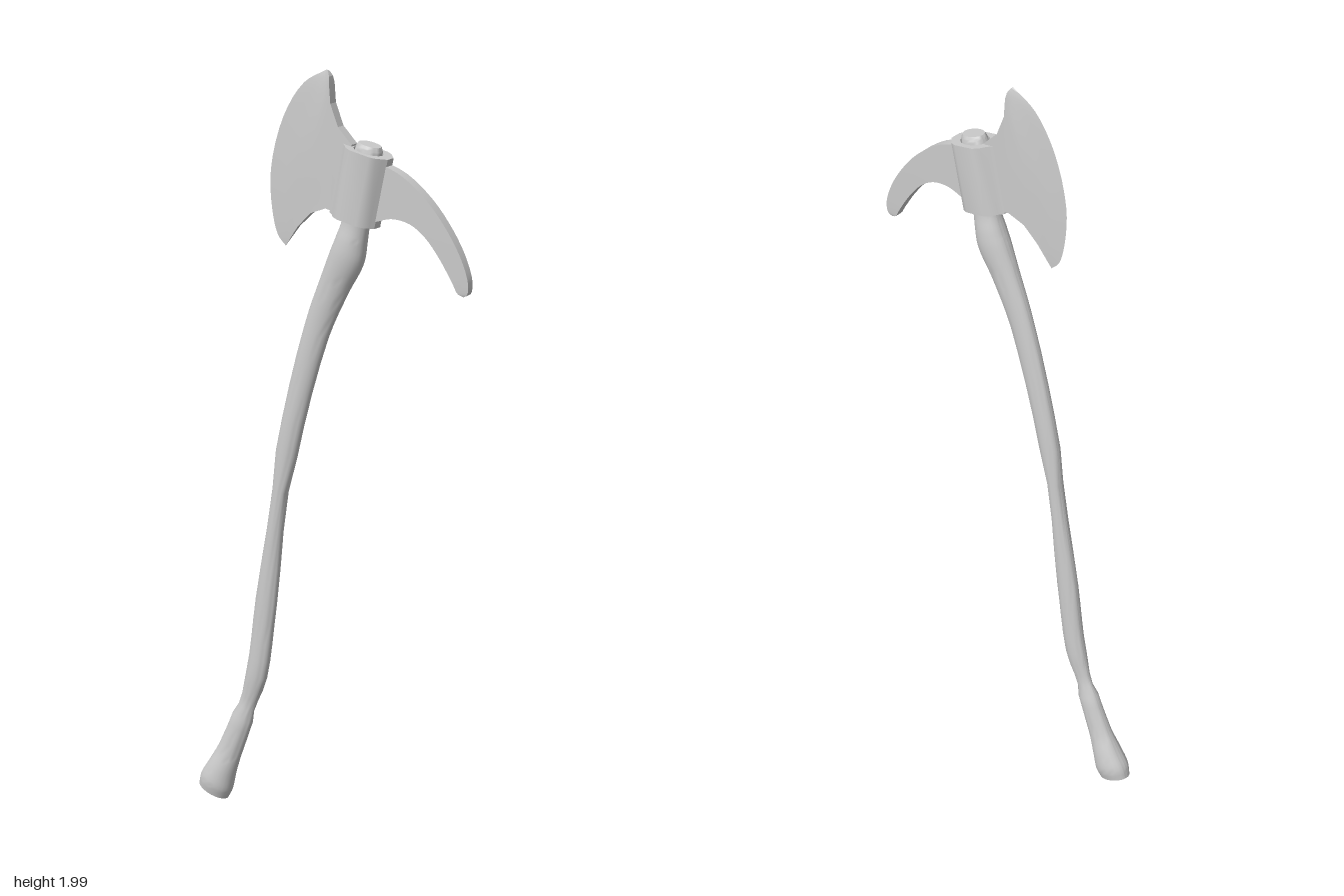
import * as THREE from 'three';
import { toCreasedNormals } from 'three/addons/utils/BufferGeometryUtils.js';

const material = new THREE.MeshStandardMaterial({ color: 0xcccccc, side: THREE.DoubleSide });
const spline = (points) =>
  new THREE.CatmullRomCurve3(points.map(([x, y]) => new THREE.Vector3(x, y, 0)));

// Skin a list of closed rings, with optional flat caps at both ends.
function loft(name, rings, capStart, capEnd, crease = 0.6) {
  const n = rings[0].length;
  const points = rings.flat();
  const index = [];
  for (let i = 0; i < rings.length - 1; i++) {
    for (let j = 0; j < n; j++) {
      const a = i * n + j, b = i * n + (j + 1) % n;
      index.push(a, b, b + n, a, b + n, a + n);
    }
  }
  const cap = (ring, start, flip) => {
    const centre = new THREE.Vector3();
    ring.forEach((p) => centre.addScaledVector(p, 1 / n));
    const c = points.push(centre) - 1;
    for (let j = 0; j < n; j++) {
      const a = start + j, b = start + (j + 1) % n;
      index.push(c, flip ? b : a, flip ? a : b);
    }
  };
  if (capStart) cap(rings[0], 0, true);
  if (capEnd) cap(rings[rings.length - 1], (rings.length - 1) * n, false);
  const geometry = new THREE.BufferGeometry().setFromPoints(points);
  geometry.setIndex(index);
  const mesh = new THREE.Mesh(toCreasedNormals(geometry, crease), material);
  mesh.name = name;
  return mesh;
}

// Flat plate ring: a top-to-bottom curve on the front, mirrored on the back.
function plateRing(halfThickness, points, samples) {
  const front = spline(points).getPoints(samples);
  front.forEach((p) => { p.z = halfThickness; });
  const back = front.map((p) => new THREE.Vector3(p.x, p.y, -halfThickness)).reverse();
  return [...front, ...back];
}

// Curved oval handle with a flared knob and a collar under the head.
function makeHandle() {
  // x, y, radius in the plane of the head, radius across it
  const stations = [
    [-0.363, 0.031, 0.046, 0.030], [-0.352, 0.06, 0.049, 0.037], [-0.335, 0.10, 0.042, 0.034],
    [-0.31, 0.155, 0.035, 0.025], [-0.267, 0.26, 0.031, 0.021], [-0.222, 0.39, 0.031, 0.021],
    [-0.19, 0.6, 0.031, 0.021], [-0.125, 1.01, 0.031, 0.021], [-0.035, 1.34, 0.036, 0.022],
    [0.02, 1.47, 0.042, 0.028], [0.056, 1.545, 0.047, 0.035], [0.068, 1.585, 0.042, 0.034],
    [0.08, 1.63, 0.037, 0.029], [0.117, 1.815, 0.036, 0.028], [0.12, 1.829, 0.03, 0.023],
  ];
  const centre = spline(stations);
  const radii = spline(stations.map((s) => [s[2], s[3]]));
  const rings = [];
  const steps = (stations.length - 1) * 4, sides = 24;
  for (let i = 0; i <= steps; i++) {
    const c = centre.getPoint(i / steps);
    const r = radii.getPoint(i / steps);
    const t = centre.getTangent(i / steps);
    rings.push(Array.from({ length: sides }, (_, j) => {
      const a = (j / sides) * Math.PI * 2;
      const u = Math.cos(a) * r.x;
      return new THREE.Vector3(c.x + t.y * u, c.y - t.x * u, -Math.sin(a) * r.y);
    }));
  }
  return loft('handle', rings, true, true);
}

// Axe blade, from the sharp edge back into the socket.
function makeBlade() {
  const columns = [
    [0, [[-0.005, 2], [-0.07, 1.963], [-0.13, 1.875], [-0.168, 1.74], [-0.165, 1.64], [-0.148, 1.575], [-0.125, 1.55]]],
    [0.003, [[0, 1.998], [-0.06, 1.93], [-0.12, 1.75], [-0.12, 1.62], [-0.107, 1.575]]],
    [0.006, [[0.004, 1.993], [-0.08, 1.8], [-0.085, 1.605]]],
    [0.009, [[0.008, 1.985], [-0.045, 1.8], [-0.045, 1.643]]],
    [0.013, [[0.01, 1.97], [0, 1.66]]],
    [0.013, [[0.014, 1.92], [0.02, 1.655]]],
    [0.013, [[0.036, 1.865], [0.035, 1.648]]],
    [0.013, [[0.075, 1.825], [0.05, 1.645]]],
  ];
  return loft('blade', columns.map(([t, pts]) => plateRing(t, pts, 24)), false, true, 0.3);
}

// Back spike, curving down to a rounded tip.
function makeSpike() {
  const top = spline([[0.14, 1.79], [0.165, 1.784], [0.22, 1.762], [0.29, 1.708],
    [0.347, 1.64], [0.385, 1.575], [0.403, 1.52], [0.4, 1.492], [0.39, 1.485]]);
  const bottom = spline([[0.12, 1.638], [0.145, 1.643], [0.19, 1.655], [0.24, 1.648],
    [0.283, 1.62], [0.325, 1.57], [0.36, 1.515], [0.374, 1.491], [0.388, 1.485]]);
  const rings = [];
  for (let i = 0; i <= 32; i++) {
    const a = top.getPoint(i / 32), b = bottom.getPoint(i / 32);
    rings.push(plateRing(0.015 - 0.007 * (i / 32) ** 2, [[a.x, a.y], [b.x, b.y]], 2));
  }
  return loft('spike', rings, true, true);
}

// Socket sleeve with an oval eye, tilted with the top of the handle.
function makeSocket() {
  const half = [[0.064, 0.014], [0.055, 0.024], [0.044, 0.037], [0.028, 0.044],
    [-0.028, 0.044], [-0.044, 0.036], [-0.056, 0.022], [-0.068, 0.013]];
  const outline = [...half, ...half.map(([x, y]) => [x, -y]).reverse()];
  const shape = new THREE.Shape(outline.map(([x, y]) => new THREE.Vector2(x, y)));
  const eye = new THREE.Path();
  eye.absellipse(0, 0, 0.039, 0.031, 0, Math.PI * 2, true);
  shape.holes.push(eye);
  const depth = 0.178;
  const geometry = new THREE.ExtrudeGeometry(shape, { depth, bevelEnabled: false, curveSegments: 24 });
  geometry.translate(0, 0, -depth / 2);
  geometry.rotateX(-Math.PI / 2);
  const mesh = new THREE.Mesh(toCreasedNormals(geometry, 0.6), material);
  mesh.name = 'socket';
  mesh.position.set(0.097, 1.725, 0);
  mesh.rotation.z = -0.21;
  return mesh;
}

export function createModel() {
  const axe = new THREE.Group();
  axe.name = 'axe';
  axe.add(makeHandle(), makeSocket(), makeBlade(), makeSpike());
  return axe;
}
